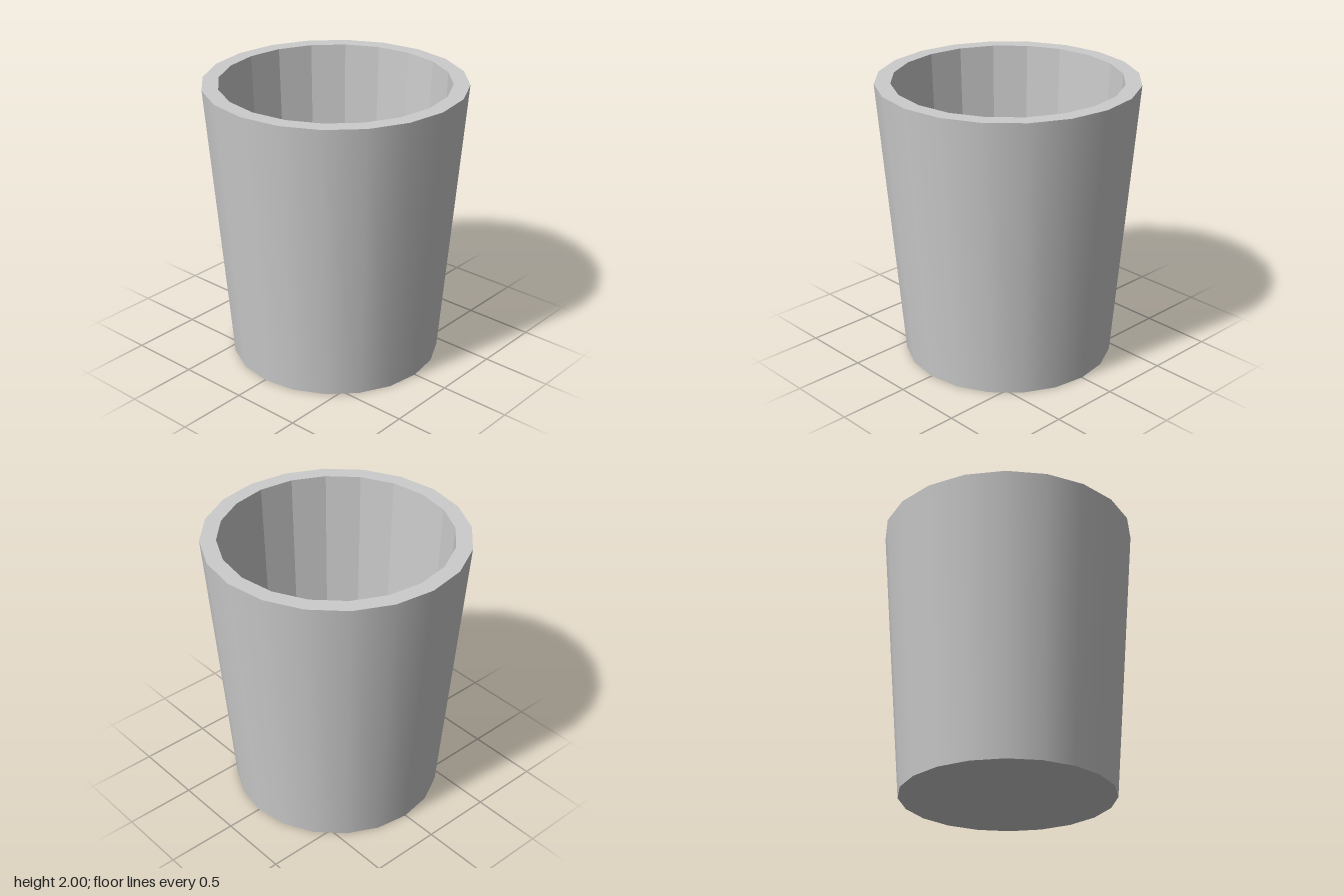
import * as THREE from 'three';

const SIDES = 20;
const HEIGHT = 2, FLOOR = 0.1;
const OUTER_TOP = 0.9, OUTER_BOTTOM = 0.74;
const INNER_TOP = 0.79, INNER_BOTTOM = 0.705;

export function createModel() {
  const group = new THREE.Group();
  group.name = 'cup';
  const smooth = new THREE.MeshStandardMaterial({ color: 0xcccccc });
  const flat = new THREE.MeshStandardMaterial({ color: 0xcccccc, flatShading: true });

  // Each part is a ring swept between two [radius, height] points
  const addRing = (name, from, to, material) => {
    const points = [new THREE.Vector2(...from), new THREE.Vector2(...to)];
    const mesh = new THREE.Mesh(new THREE.LatheGeometry(points, SIDES), material);
    mesh.name = name;
    group.add(mesh);
  };

  // Solid underside, smooth tapered outside, flat rim
  addRing('base', [0, 0], [OUTER_BOTTOM, 0], flat);
  addRing('outerWall', [OUTER_BOTTOM, 0], [OUTER_TOP, HEIGHT], smooth);
  addRing('rim', [OUTER_TOP, HEIGHT], [INNER_TOP, HEIGHT], flat);

  // Faceted hollow with a flat floor
  addRing('innerWall', [INNER_TOP, HEIGHT], [INNER_BOTTOM, FLOOR], flat);
  addRing('innerFloor', [INNER_BOTTOM, FLOOR], [0, FLOOR], flat);

  return group;
}
